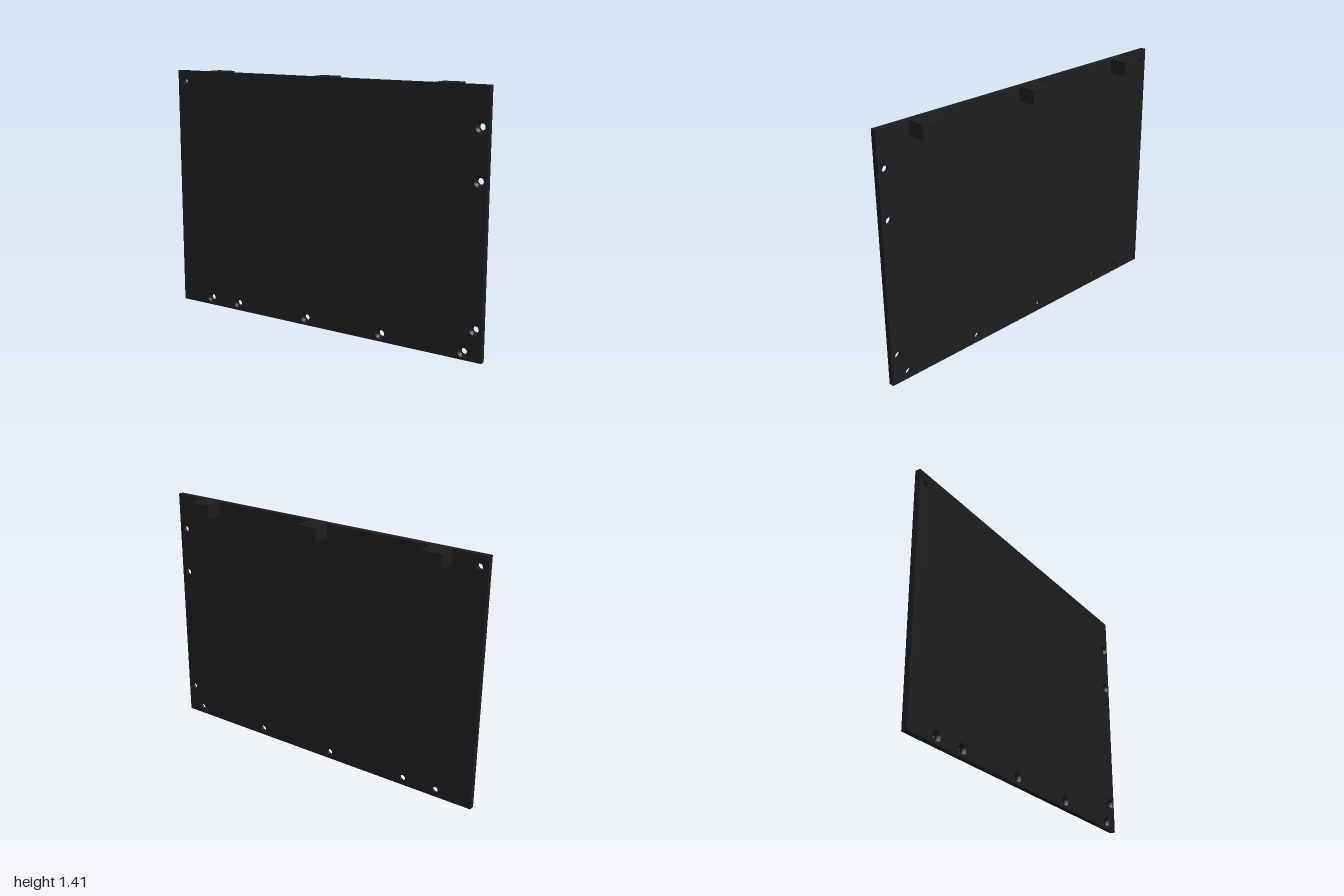
import * as THREE from 'three';
import { toCreasedNormals } from 'three/addons/utils/BufferGeometryUtils.js';

const HEIGHT = 1.407, BACK = 0.036, THICK = 0.031; // panel height, back plane, thickness
const HOLE = 0.018, SINK = 0.03, SINK_DEPTH = 0.014; // screw holes
const LUG = { width: 0.12, height: 0.08, back: -0.067, hole: 0.0135, holeZ: -0.02 };

// Rectangle pierced by round holes [x, y, radius], extruded along +z
function piercedSlab(x0, y0, x1, y1, holes, depth) {
  const shape = new THREE.Shape([
    new THREE.Vector2(x0, y0), new THREE.Vector2(x1, y0),
    new THREE.Vector2(x1, y1), new THREE.Vector2(x0, y1),
  ]);
  for (const [x, y, r] of holes) {
    shape.holes.push(new THREE.Path().absarc(x, y, r, 0, Math.PI * 2, true));
  }
  const geometry = new THREE.ExtrudeGeometry(shape, { depth, bevelEnabled: false, curveSegments: 16 });
  return toCreasedNormals(geometry, 0.6);
}

export function createModel() {
  const model = new THREE.Group();
  model.name = 'mountingPanel';
  const material = new THREE.MeshStandardMaterial({ color: 0x1c1d1f });

  const add = (name, geometry, x, y, z) => {
    const mesh = new THREE.Mesh(geometry, material);
    mesh.name = name;
    mesh.position.set(x, y, z);
    model.add(mesh);
    return mesh;
  };

  // Countersunk screw holes along the bottom and left edges, one plain corner hole
  const sunk = [
    ...[-0.783, -0.578, -0.087, 0.404, 0.895].map((x) => [x, 0.042]),
    ...[0.17, 0.933, 1.202].map((y) => [0.957, y]),
  ];
  const holes = [...sunk.map(([x, y]) => [x, y, SINK]), [-0.95, 1.345, HOLE]];
  add('panel', piercedSlab(-1, 0, 1, HEIGHT, holes, THICK), 0, 0, BACK);

  // Countersink: cone on the front, straight bore behind, ring closing the back
  const profile = [[SINK, THICK], [HOLE, THICK - SINK_DEPTH], [HOLE, 0], [SINK, 0]]
    .map(([r, h]) => new THREE.Vector2(r, h));
  const sinkGeometry = toCreasedNormals(
    new THREE.LatheGeometry(profile, 32).rotateX(Math.PI / 2), 0.5);
  for (const [x, y] of sunk) add('countersink', sinkGeometry, x, y, BACK);

  // Mounting lugs on the back of the top edge, each with a vertical bore
  const w = LUG.width / 2;
  const lugGeometry = piercedSlab(-w, -BACK, w, -LUG.back,
    [[0, -LUG.holeZ, LUG.hole]], LUG.height).rotateX(-Math.PI / 2);
  for (const x of [-0.743, 0, 0.743]) add('lug', lugGeometry, x, HEIGHT - LUG.height, 0);

  return model;
}
